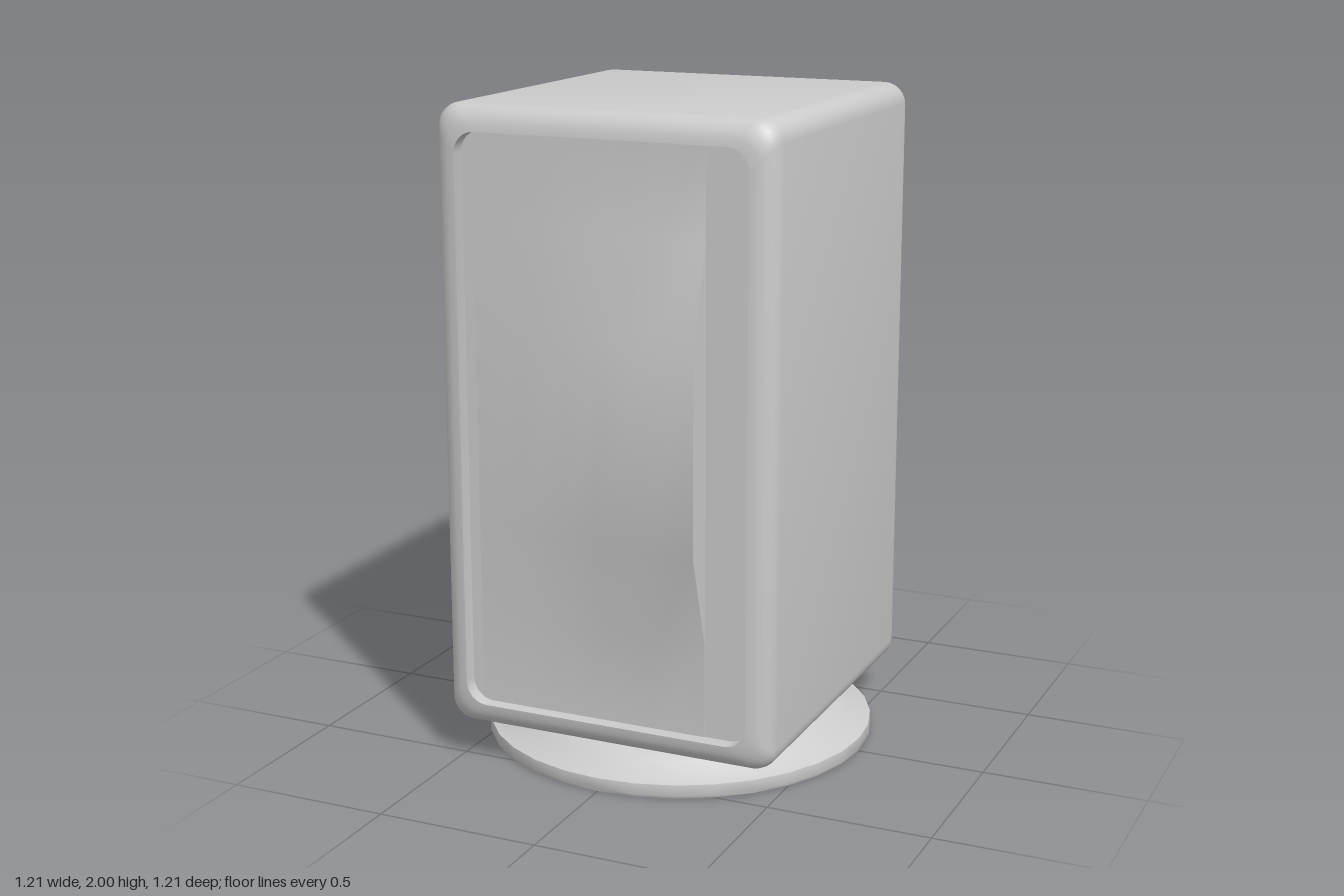
import * as THREE from 'three';
import { toCreasedNormals } from 'three/addons/utils/BufferGeometryUtils.js';

const W = 0.53, H = 0.94, CY = 1.06, RIM = 0.075, FACE = 0.565, PANEL = 0.52;

// Surface through a grid of points, rows[i][j] = [x, y, z]
function gridGeometry(rows, closed) {
  const n = rows[0].length, index = [];
  for (let i = 0; i < rows.length - 1; i++) {
    for (let j = 0; j < (closed ? n : n - 1); j++) {
      const k = (j + 1) % n;
      const a = i * n + j, b = (i + 1) * n + j, c = (i + 1) * n + k, d = i * n + k;
      index.push(a, b, c, a, c, d);
    }
  }
  const g = new THREE.BufferGeometry();
  g.setAttribute('position', new THREE.Float32BufferAttribute(rows.flat(2), 3));
  g.setIndex(index);
  return toCreasedNormals(g, 0.6);
}

// Rounded rectangle, counter-clockwise seen from +z
function ring(inset, z, scale = 1) {
  const r = 0.065, w = W - inset - r, h = H - inset - r, pts = [];
  [[1, 1], [-1, 1], [-1, -1], [1, -1]].forEach(([sx, sy], q) => {
    for (let k = 0; k <= 6; k++) {
      const a = (q + k / 6) * Math.PI / 2;
      pts.push([scale * (sx * w + r * Math.cos(a)), CY + scale * (sy * h + r * Math.sin(a)), z]);
    }
  });
  return pts;
}

function interpolate(table, v) {
  for (let i = 1; i < table.length; i++) {
    const [v0, f0] = table[i - 1], [v1, f1] = table[i];
    if (v <= v1) return f0 + (f1 - f0) * (v - v0) / (v1 - v0);
  }
  return table[table.length - 1][1];
}

// Door skin that swells toward its free edge and drops off there
function doorGeometry() {
  const across = [[-0.42, 0], [-0.25, 0.28], [-0.107, 0.53], [0, 0.67], [0.155, 1], [0.31, 1]];
  const up = [[0.19, 0], [0.48, 0], [0.76, 1], [1.355, 1], [1.65, 0], [1.928, 0]];
  const ys = up.map(p => p[0]);
  const column = (x, f) => ys.map(y => [x, y, PANEL + 0.003 + 0.082 * f * interpolate(up, y)]);
  const rows = across.map(([x, f]) => column(x, f));
  rows.push(ys.map(y => [0.31, y, PANEL]));
  return gridGeometry(rows, false);
}

export function createModel() {
  const group = new THREE.Group();
  const material = new THREE.MeshStandardMaterial({ color: 0xcccccc });
  const add = (name, geometry, mat = material) => {
    const mesh = new THREE.Mesh(geometry, mat);
    mesh.name = name;
    group.add(mesh);
    return mesh;
  };

  // Housing: rounded case with a recessed panel at front and back
  const half = [[RIM, PANEL, 0], [RIM, PANEL, 1], [RIM, FACE, 1]];
  for (let k = 1; k <= 5; k++) {
    const a = k / 5 * Math.PI / 2;
    half.push([RIM * (1 - Math.sin(a)), FACE - 0.065 * (1 - Math.cos(a)), 1]);
  }
  const back = half.map(([i, z, s]) => [i, -z, s]).reverse();
  add('housing', gridGeometry([...half, ...back].map(p => ring(...p)), true));

  // Doors: the same skin on both faces, turned half round
  const skin = material.clone();
  skin.side = THREE.DoubleSide;
  const door = doorGeometry();
  add('frontDoor', door, skin);
  add('backDoor', door, skin).rotation.y = Math.PI;

  // Round foot
  const profile = [[0, 0], [0.6, 0], [0.605, 0.01], [0.602, 0.042], [0.58, 0.05],
    [0.53, 0.085], [0.49, 0.112], [0.45, 0.122], [0, 0.122]].map(p => new THREE.Vector2(...p));
  add('foot', toCreasedNormals(new THREE.LatheGeometry(profile, 32), 0.6));

  return group;
}
